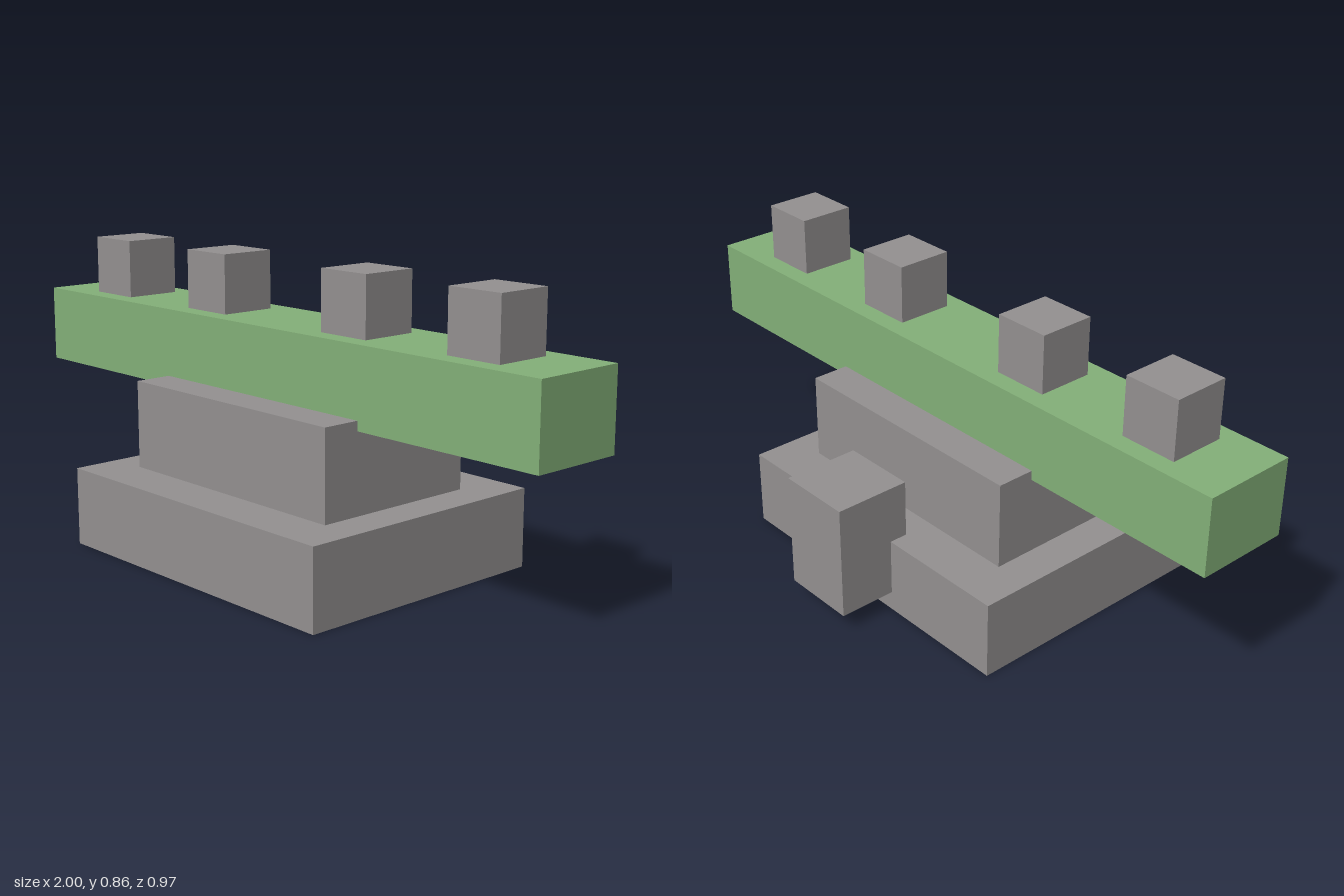
import * as THREE from 'three';

export function createModel() {
  const model = new THREE.Group();
  model.name = 'steppedStandWithBeam';

  const gray = new THREE.MeshStandardMaterial({ color: 0x949191 });
  gray.name = 'stoneGray';
  const green = new THREE.MeshStandardMaterial({ color: 0x84b179 });
  green.name = 'leafGreen';

  // Box given by its [min, max] extent on each axis
  function addBox(name, material, [x0, x1], [y0, y1], [z0, z1]) {
    const mesh = new THREE.Mesh(new THREE.BoxGeometry(x1 - x0, y1 - y0, z1 - z0), material);
    mesh.position.set((x0 + x1) / 2, (y0 + y1) / 2, (z0 + z1) / 2);
    mesh.name = name;
    model.add(mesh);
  }

  // Stepped foot
  addBox('base', gray, [-0.512, 0.512], [0, 0.229], [-0.312, 0.484]);
  addBox('upperStep', gray, [-0.4, 0.4], [0.229, 0.486], [-0.17, 0.341]);

  // Block at the back of the base
  addBox('rearBlock', gray, [-0.115, 0.113], [0.059, 0.4], [-0.484, -0.257]);

  // Long crossbeam
  addBox('beam', green, [-1, 1], [0.458, 0.685], [-0.056, 0.228]);

  // Row of pegs on the beam
  const pegSize = 0.17;
  [-0.745, -0.288, 0.285, 0.741].forEach((x, i) => {
    addBox(`peg${i + 1}`, gray, [x - pegSize / 2, x + pegSize / 2], [0.685, 0.857], [0.001, 0.171]);
  });

  return model;
}
